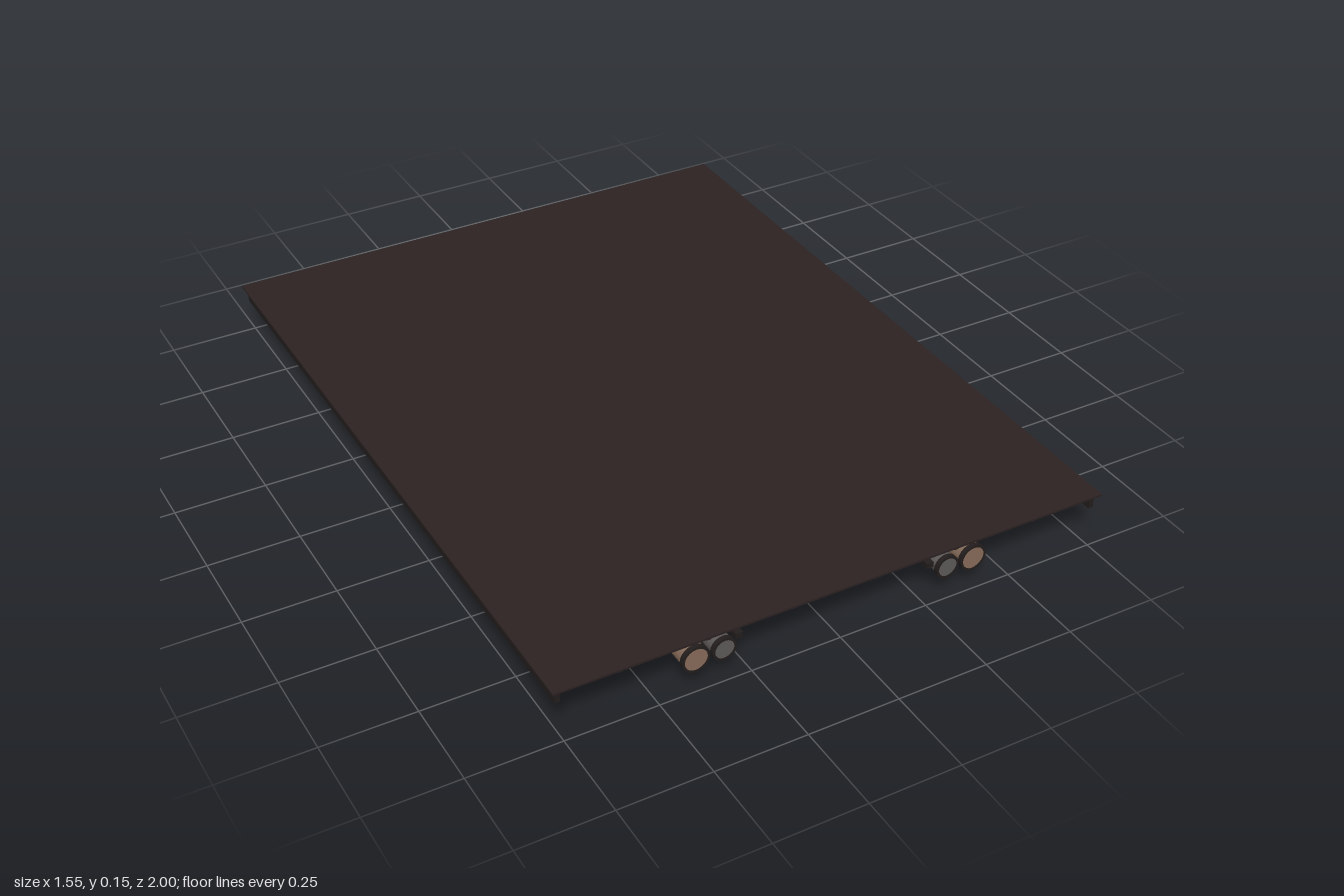
import * as THREE from 'three';

const mat = (name, color, side = THREE.FrontSide) => {
  const m = new THREE.MeshStandardMaterial({ color, side });
  m.name = name;
  return m;
};

export function createModel() {
  const root = new THREE.Group();
  root.name = 'ceilingSection';
  const panelMat = mat('dark plate', 0x2c2222);
  const steel = mat('black steel', 0x231d1d, THREE.DoubleSide);
  const rust = mat('rusty brown', 0x4a3027);
  const tan = mat('tan pipe', 0x866b59);
  const grey = mat('grey pipe', 0x5c5957);
  const copper = mat('copper', 0x87552c);

  const add = (name, geo, material, x = 0, y = 0, z = 0, parent = root) => {
    const m = new THREE.Mesh(geo, material);
    m.name = name;
    m.position.set(x, y, z);
    parent.add(m);
    return m;
  };
  const box = (name, w, h, d, material, x, y, z) =>
    add(name, new THREE.BoxGeometry(w, h, d), material, x, y, z);
  // thin vertical rod between two heights
  const rod = (name, x, z, y0, y1, r, parent) =>
    add(name, new THREE.CylinderGeometry(r, r, y1 - y0, 6), steel, x, (y0 + y1) / 2, z, parent);

  // Ceiling plate
  box('ceilingPlate', 1.55, 0.006, 2, panelMat, 0, 0.15, 0);

  // Cross beams: brown web with dark top flange
  for (let i = 0; i < 12; i++) {
    const z = (i - 5.5) * 0.165;
    box('crossBeam', 1.51, 0.024, 0.012, rust, 0, 0.13, z);
    box('crossBeamFlange', 1.51, 0.006, 0.022, steel, 0, 0.144, z);
  }

  // Lengthwise joists
  for (let i = 0; i < 6; i++)
    box('joist', 0.012, 0.026, 1.94, steel, (i - 2.5) * 0.235, 0.128, 0);

  // Rear edge rod
  const edge = add('rearRod', new THREE.CylinderGeometry(0.003, 0.003, 1.51, 8), steel, 0, 0.109, -0.982);
  edge.rotation.z = Math.PI / 2;

  // Side rails, pipes and conduits, mirrored
  for (const s of [-1, 1]) {
    box('sideRail', 0.014, 0.034, 1.97, steel, s * 0.757, 0.124, 0);
    for (const [x, r, material, name] of [
      [0.395, 0.034, tan, 'largePipe'],
      [0.318, 0.029, grey, 'smallPipe'],
    ]) {
      const pipe = add(name, new THREE.CylinderGeometry(r, r, 1.965, 20), material, s * x, 0.084, 0);
      pipe.rotation.x = Math.PI / 2;
      // end collars
      for (const e of [-1, 1]) {
        const collar = add('pipeCollar', new THREE.CylinderGeometry(r + 0.004, r + 0.004, 0.012, 20, 1, true),
          steel, s * x, 0.084, e * 0.98);
        collar.rotation.x = Math.PI / 2;
        add('collarRim', new THREE.RingGeometry(r - 0.003, r + 0.004, 20), steel, s * x, 0.084, e * 0.986);
      }
      // hangers
      for (let i = 0; i < 6; i++)
        rod('pipeHanger', s * x, (i - 2.5) * 0.33, 0.084 + r - 0.004, 0.147, 0.003);
    }
    box('conduit', 0.02, 0.016, 1.95, steel, s * 0.272, 0.099, 0);
    for (let i = 0; i < 6; i++)
      rod('conduitHanger', s * 0.272, (i - 2.5) * 0.33, 0.105, 0.147, 0.004);
  }

  // Hanging ring with copper underside and beads
  const ring = new THREE.Group();
  ring.name = 'hangingRing';
  ring.position.set(0, 0.059, 0.275);
  root.add(ring);
  add('hoop', new THREE.TorusGeometry(0.222, 0.005, 8, 48), rust, 0, 0, 0, ring).rotation.x = Math.PI / 2;
  for (let i = 0; i < 40; i++) {
    const a = (i / 40) * Math.PI * 2;
    add('bead', new THREE.SphereGeometry(0.004, 6, 4), copper,
      Math.cos(a) * 0.222, -0.003, Math.sin(a) * 0.222, ring);
  }
  for (const deg of [25, 145, 265]) {
    const a = THREE.MathUtils.degToRad(deg);
    rod('ringCable', Math.cos(a) * 0.222, Math.sin(a) * 0.222, 0, 0.088, 0.002, ring);
  }

  // Three pendant lamps
  for (const x of [-0.235, 0, 0.235]) {
    const lamp = new THREE.Group();
    lamp.name = 'pendantLamp';
    lamp.position.set(x, 0, -0.75);
    root.add(lamp);
    add('shade', new THREE.SphereGeometry(0.032, 18, 8, 0, Math.PI * 2, 0, Math.PI / 2), steel, 0, 0, 0, lamp);
    add('bulb', new THREE.SphereGeometry(0.009, 10, 8), copper, 0, 0.014, 0, lamp);
    rod('lampCable', 0, 0, 0.03, 0.147, 0.002, lamp);
  }
  return root;
}
